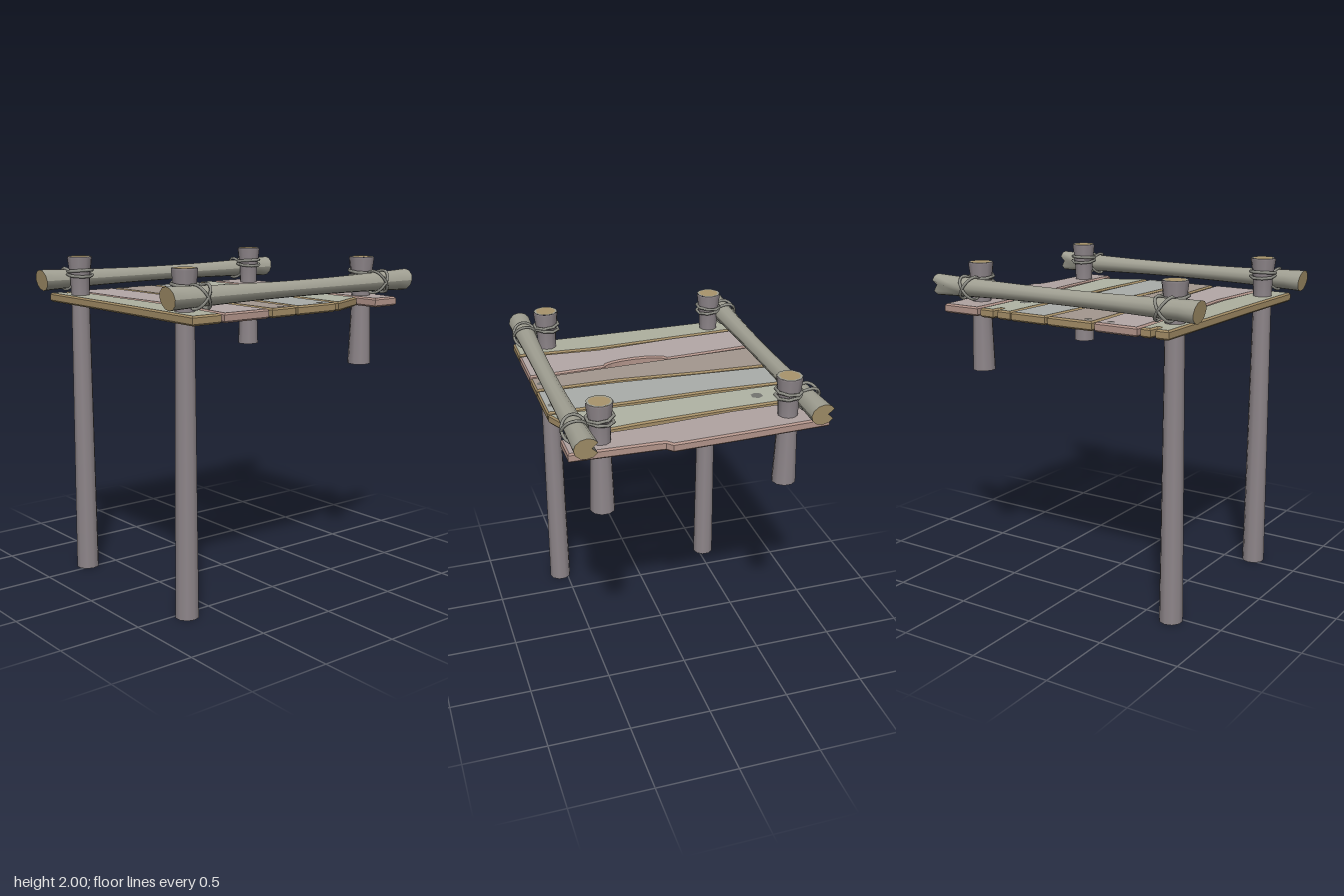
import * as THREE from 'three';

const mat = (color) => new THREE.MeshStandardMaterial({ color });
const postWood = mat(0x8e868a), railWood = mat(0xa09f92), cutWood = mat(0xa8946c);
const rope = mat(0x92928a), knotWood = mat(0x74746f);
const tanEdge = mat(0xa38d66), pinkEdge = mat(0xb2948a);

function add(parent, name, geometry, material) {
  const mesh = new THREE.Mesh(geometry, material);
  mesh.name = name;
  parent.add(mesh);
  return mesh;
}

// Deck board: x of its left and right edges at four stations from back to front.
// bite: points [x, z] broken out of the right edge; slit: x of a split in the back end;
// cut: how far the front end slants back on the right
function buildPlank(parent, face, edge, back, left, right, { bite = [], slit, cut = 0 } = {}) {
  const front = 0.747;
  const stations = [back, -0.25, 0.25, front];
  const biteZ = bite.map((point) => point[1]);
  const inBite = (z) => z > Math.min(...biteZ) && z < Math.max(...biteZ);
  const leftSide = left.map((x, i) => [x, stations[i]]);
  const rightSide = right.map((x, i) => [x, i === 3 ? front - cut : stations[i]])
    .filter((point) => !inBite(point[1]))
    .concat(bite)
    .sort((a, b) => b[1] - a[1]);
  const split = slit === undefined ? []
    : [[slit + 0.016, back], [slit + 0.008, back + 0.065], [slit - 0.008, back + 0.065], [slit - 0.016, back]];
  const shape = new THREE.Shape([...leftSide, ...rightSide, ...split].map(([x, z]) => new THREE.Vector2(x, -z)));
  const bevel = 0.01;
  const geometry = new THREE.ExtrudeGeometry(shape, {
    depth: 0.035, bevelThickness: bevel, bevelSize: bevel, bevelOffset: -bevel, bevelSegments: 1,
  }).rotateX(-Math.PI / 2).translate(0, 1.71 + bevel, 0);
  add(parent, 'plank', geometry, [mat(face), edge]);
}

// Dark knot lying on a board
function buildKnot(parent, x, z, r) {
  add(parent, 'knot', new THREE.CircleGeometry(r, 6).rotateX(-Math.PI / 2), knotWood).position.set(x, 1.7665, z);
}

function buildDeck(parent) {
  const deck = new THREE.Group();
  deck.name = 'deck';
  // Rounded hole broken out of the second board
  const hole = Array.from({ length: 9 }, (_, i) => {
    const a = i / 8 * Math.PI;
    return [-0.28 - 0.063 * Math.sin(a), 0.075 + 0.2 * Math.cos(a)];
  });
  buildPlank(deck, 0xaeb09f, tanEdge, -0.755, [-0.78, -0.78, -0.782, -0.79], [-0.605, -0.587, -0.566, -0.595], { slit: -0.683 });
  buildPlank(deck, 0xb3a7a6, pinkEdge, -0.763, [-0.59, -0.575, -0.537, -0.575], [-0.315, -0.286, -0.275, -0.26], { bite: hole });
  buildPlank(deck, 0xa3978e, tanEdge, -0.76, [-0.295, -0.275, -0.257, -0.235], [0.005, -0.02, -0.064, -0.06]);
  buildPlank(deck, 0xaaada9, tanEdge, -0.758, [0.025, -0.005, -0.035, -0.045], [0.265, 0.245, 0.25, 0.25]);
  buildPlank(deck, 0xb0b3a4, tanEdge, -0.752, [0.275, 0.278, 0.284, 0.272], [0.495, 0.502, 0.522, 0.553], { slit: 0.385, cut: 0.13 });
  buildPlank(deck, 0xb0a3a1, pinkEdge, -0.745, [0.525, 0.53, 0.567, 0.58], [0.775, 0.797, 0.773, 0.76],
    { bite: [[0.812, 0.18], [0.777, 0.212]] });
  buildKnot(deck, 0.39, -0.46, 0.037);
  for (const x of [-0.39, -0.24]) buildKnot(deck, x, -0.712, 0.023);
  for (const x of [-0.14, 0.16]) buildKnot(deck, x, 0.705, 0.023);
  parent.add(deck);
}

// Tapered post, narrow under the lashing and flared at the top, open at the foot
function buildPost(parent, x, z, foot) {
  const post = new THREE.Group();
  post.name = foot === 0 ? 'longPost' : 'shortPost';
  post.position.set(x, 0, z);
  const profile = [[0.071, foot], [0.057, 1.75], [0.062, 1.87], [0.077, 1.99], [0.074, 2]];
  const sides = 10;
  add(post, 'postShaft', new THREE.LatheGeometry(profile.map(([r, y]) => new THREE.Vector2(r, y)), sides), postWood);
  add(post, 'postRim', new THREE.RingGeometry(0.06, 0.074, sides).rotateX(-Math.PI / 2).translate(0, 2, 0), railWood);
  add(post, 'postCutTop', new THREE.CircleGeometry(0.061, sides).rotateX(-Math.PI / 2).translate(0, 2, 0), cutWood);
  parent.add(post);
}

// Round rail, thicker at the ends, slightly bowed, with a split at its left end
function buildRail(parent, name, z) {
  const half = 0.9;
  const geometry = new THREE.CylinderGeometry(1, 1, 2 * half, 12, 18).rotateZ(-Math.PI / 2);
  const p = geometry.attributes.position;
  for (let i = 0; i < p.count; i++) {
    const x = p.getX(i), y = p.getY(i), pz = p.getZ(i), t = Math.abs(x) / half;
    let r = 0.047 + 0.018 * t * t;
    if (x > half - 0.01 && pz < -0.99) r *= 0.4;
    const slant = t > 0.99 ? 0.01 * y * Math.sign(x) : 0;
    p.setXYZ(i, x + slant, y * r, pz * r * 1.08 + 0.008 * (1 - t * t));
  }
  geometry.computeVertexNormals();
  add(parent, name, geometry, [railWood, cutWood, cutWood]).position.set(0, 1.857, z);
}

// Rope: two slanted wraps round the post and two crossing loops round the rail
function buildLashing(parent, x, postZ, railZ) {
  const lashing = new THREE.Group();
  lashing.name = 'ropeLashing';
  const out = Math.sign(railZ);
  for (const side of [-1, 1]) {
    const wrap = add(lashing, 'postWrap', new THREE.TorusGeometry(0.077, 0.01, 5, 8).rotateX(Math.PI / 2), rope);
    wrap.position.set(x, 1.9 + side * 0.012, postZ);
    wrap.rotation.set(side * out * 0.1, Math.PI / 8, 0);
    const points = Array.from({ length: 12 }, (_, i) => {
      const a = i / 12 * Math.PI * 2;
      return new THREE.Vector3(
        x + side * 0.042 * Math.sin(a),
        1.857 + 0.066 * Math.sin(a),
        railZ + out * (0.008 + 0.07 * Math.cos(a)));
    });
    const loop = new THREE.CatmullRomCurve3(points, true);
    add(lashing, 'railLoop', new THREE.TubeGeometry(loop, 24, 0.009, 5, true), rope);
  }
  parent.add(lashing);
}

export function createModel() {
  const model = new THREE.Group();
  model.name = 'woodenPlatform';
  buildDeck(model);

  // Front and back rails, each lashed to a long and a short post
  for (const [name, postZ, railZ] of [['frontRail', 0.545, 0.677], ['backRail', -0.538, -0.643]]) {
    buildRail(model, name, railZ);
    for (const [x, foot] of [[-0.69, 0], [0.66, 1.34]]) {
      buildPost(model, x, postZ, foot);
      buildLashing(model, x, postZ, railZ);
    }
  }
  return model;
}
